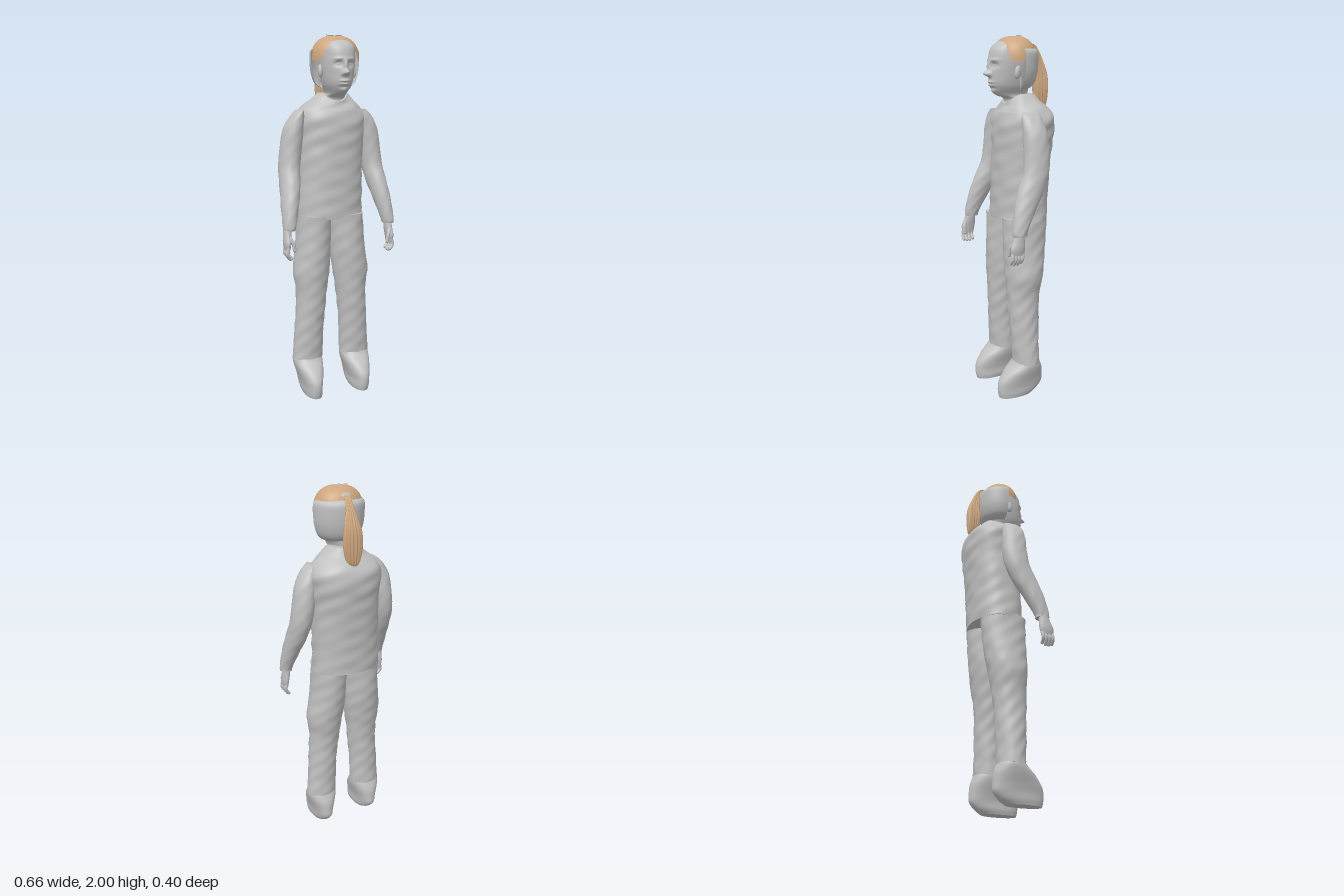
import * as THREE from 'three';

const grey = new THREE.MeshStandardMaterial({ color: 0xc0c0c0, side: THREE.DoubleSide });
grey.name = 'plain grey';
const tan = new THREE.MeshStandardMaterial({ color: 0xcda67e, side: THREE.DoubleSide });
tan.name = 'hair tan';

function addMesh(parent, name, geometry, material = grey) {
  const mesh = new THREE.Mesh(geometry, material);
  mesh.name = name;
  parent.add(mesh);
  return mesh;
}

// Closed tube through horizontal sections [y, cx, cz, rx, rz], bottom to top.
// power squares the outline; shape(p, angle) may move each point.
function loft(sections, { segs = 36, rows = 40, power = 2, shape } = {}) {
  const centres = new THREE.CatmullRomCurve3(sections.map(s => new THREE.Vector3(s[1], s[0], s[2])), false, 'catmullrom');
  const radii = new THREE.CatmullRomCurve3(sections.map(s => new THREE.Vector3(s[3], 0, s[4])), false, 'catmullrom');
  const pos = [], idx = [];
  const round = v => Math.sign(v) * Math.abs(v) ** (2 / power);
  for (let j = 0; j <= rows; j++) {
    const c = centres.getPoint(j / rows), r = radii.getPoint(j / rows);
    for (let i = 0; i < segs; i++) {
      const a = i / segs * Math.PI * 2;
      const p = new THREE.Vector3(c.x + r.x * round(Math.cos(a)), c.y, c.z + r.z * round(Math.sin(a)));
      if (shape) shape(p, a, c);
      pos.push(p.x, p.y, p.z);
      if (j < rows) {
        const k = j * segs + i, n = j * segs + (i + 1) % segs;
        idx.push(k, k + segs, n, n, k + segs, n + segs);
      }
    }
  }
  // End caps with their own corners, so the rims stay sharp
  for (const [row, up] of [[0, false], [rows, true]]) {
    const base = pos.length / 3, c = centres.getPoint(row / rows);
    for (let i = 0; i < segs * 3; i++) pos.push(pos[row * segs * 3 + i]);
    pos.push(c.x, pos[row * segs * 3 + 1], c.z);
    for (let i = 0; i < segs; i++) {
      const a = base + i, b = base + (i + 1) % segs;
      idx.push(base + segs, up ? b : a, up ? a : b);
    }
  }
  const g = new THREE.BufferGeometry();
  g.setAttribute('position', new THREE.Float32BufferAttribute(pos, 3));
  g.setIndex(idx);
  g.computeVertexNormals();
  return g;
}

// Soft cloth folds
const folds = amount => (p, a, c) => {
  const w = amount * (Math.sin(p.y * 43 + 3 * Math.sin(a * 2)) * Math.sin(a * 3 + p.y * 17) + 0.6 * Math.sin(p.y * 71 + a * 5));
  p.x += Math.cos(a) * w;
  p.z += Math.sin(a) * w;
};

const bump = (x, y, sx, sy) => Math.exp(-((x / sx) ** 2) - (y / sy) ** 2);

// Nose, brow, eyes, lips and chin pushed out of the front of the head
function face(p) {
  if (p.z < 0.06) return;
  const x = p.x - 0.026, ax = Math.abs(x), y = p.y;
  p.z += 0.017 * bump(x, y - 1.84, 0.012, 0.03) + 0.036 * bump(x, y - 1.802, 0.015, 0.014)
    + 0.012 * bump(ax - 0.014, y - 1.797, 0.008, 0.009)
    - 0.016 * bump(ax - 0.034, y - 1.845, 0.02, 0.014) + 0.009 * bump(ax - 0.034, y - 1.844, 0.01, 0.006)
    + 0.006 * bump(ax - 0.034, y - 1.872, 0.025, 0.008)
    + 0.011 * bump(x, y - 1.758, 0.024, 0.007) + 0.011 * bump(x, y - 1.742, 0.02, 0.007)
    - 0.006 * bump(x, y - 1.75, 0.028, 0.003) - 0.006 * bump(x, y - 1.728, 0.025, 0.007)
    + 0.008 * bump(x, y - 1.708, 0.022, 0.012);
}

// Hair cap: a dome whose lower edge drops at the temples and lifts over the brow
function hairCap() {
  const segs = 72, rows = 14, pos = [], idx = [];
  for (let j = 0; j <= rows; j++) for (let i = 0; i < segs; i++) {
    const a = i / segs * Math.PI * 2, front = Math.sin(a);
    let edge = 1.92;
    if (front > 0) edge = front < 0.6 ? 1.865 : 1.865 + 0.095 * Math.min(1, (front - 0.6) / 0.25);
    edge += 0.005 * Math.sin(i * 2.4);
    const y = 1.997 - (1.997 - edge) * (j / rows) ** 2;
    const s = Math.max(0, 1 - ((y - 1.86) / 0.137) ** 2.5) ** 0.4;
    pos.push(0.027 + 0.134 * s * Math.cos(a), y, 0.015 + (front > 0 ? 0.122 : 0.112) * s * front);
    if (j < rows) {
      const k = j * segs + i, n = j * segs + (i + 1) % segs;
      idx.push(k, n, k + segs, n, n + segs, k + segs);
    }
  }
  const g = new THREE.BufferGeometry();
  g.setAttribute('position', new THREE.Float32BufferAttribute(pos, 3));
  g.setIndex(idx);
  g.computeVertexNormals();
  return g;
}

export function createModel() {
  const model = new THREE.Group();
  model.name = 'figure';

  // Tunic, with the neckline dipping at the front
  const cloth = folds(0.0025);
  addMesh(model, 'torso', loft([
    [1.01, 0.005, -0.02, 0.192, 0.143], [1.2, 0.01, -0.025, 0.185, 0.146], [1.4, 0.017, -0.035, 0.187, 0.152],
    [1.5, 0.02, -0.04, 0.195, 0.156], [1.57, 0.022, -0.043, 0.198, 0.15], [1.62, 0.022, -0.037, 0.165, 0.128],
    [1.66, 0.022, -0.022, 0.118, 0.1], [1.695, 0.022, -0.01, 0.078, 0.085],
  ], {
    segs: 64, rows: 60, power: 2.25, shape(p, a, c) {
      cloth(p, a, c);
      const dip = Math.max(0, Math.sin(a)) ** 2;
      if (p.y > 1.6) p.y -= 0.045 * dip * (p.y - 1.6) / 0.095;
    },
  }));

  // Head, ears and the raised back of the skull
  const head = new THREE.Group();
  head.name = 'head';
  model.add(head);
  addMesh(head, 'face', loft([
    [1.62, 0.022, 0, 0.068, 0.07], [1.67, 0.022, 0.002, 0.062, 0.07], [1.693, 0.023, 0.03, 0.052, 0.095],
    [1.74, 0.025, 0.045, 0.073, 0.112], [1.8, 0.026, 0.045, 0.086, 0.116], [1.87, 0.027, 0.04, 0.093, 0.122],
    [1.93, 0.027, 0.032, 0.092, 0.116], [1.965, 0.027, 0.02, 0.077, 0.09], [1.986, 0.027, 0.015, 0.04, 0.045],
  ], { segs: 110, rows: 110, power: 2.1, shape: face }));
  const shell = [[0.08, 1.72], [0.115, 1.745], [0.135, 1.8], [0.141, 1.86], [0.139, 1.915], [0.115, 1.935]];
  const skull = addMesh(head, 'skullBack', new THREE.LatheGeometry(
    new THREE.SplineCurve(shell.map(p => new THREE.Vector2(...p))).getPoints(20), 40, Math.PI / 2, Math.PI));
  skull.position.set(0.027, 0, 0.023);
  skull.scale.z = 0.96;
  for (const s of [1, -1]) {
    const ear = addMesh(head, s > 0 ? 'leftEar' : 'rightEar', new THREE.SphereGeometry(1, 16, 12));
    ear.scale.set(0.014, 0.036, 0.021);
    ear.position.set(0.026 + s * 0.096, 1.81, 0.045);
    ear.rotation.set(-0.15, s * 0.35, 0);
    const lock = addMesh(head, 'sideLock', new THREE.ConeGeometry(0.012, 0.07, 7).rotateX(Math.PI));
    lock.position.set(0.026 + s * 0.092, 1.75, 0.025);
  }

  // Hair: cap, crown patch and ribbed ponytail
  addMesh(model, 'hairCap', hairCap(), tan);
  const crown = addMesh(model, 'crownPatch', new THREE.RingGeometry(0.025, 0.048, 24, 1, 0, Math.PI).rotateX(-Math.PI / 2));
  crown.position.set(0.022, 1.9995, 0.02);
  addMesh(model, 'ponytail', loft([
    [1.605, 0.028, -0.15, 0.016, 0.014], [1.64, 0.028, -0.148, 0.036, 0.03], [1.72, 0.028, -0.147, 0.05, 0.037],
    [1.8, 0.029, -0.145, 0.044, 0.033], [1.88, 0.032, -0.128, 0.026, 0.022], [1.94, 0.033, -0.103, 0.016, 0.016],
    [1.957, 0.033, -0.085, 0.012, 0.012],
  ], {
    segs: 96, shape(p, a, c) {
      const rib = 1 + 0.08 * Math.cos(a * 16);
      p.x = c.x + (p.x - c.x) * rib;
      p.z = c.z + (p.z - c.z) * rib;
    },
  }), tan);

  for (const s of [1, -1]) {
    const side = s > 0 ? 'left' : 'right';
    const place = (mid, list) => list.map(([y, x, z, rx, rz]) => [y, mid + s * x, z, rx, rz]);

    // Sleeve
    addMesh(model, side + 'Arm', loft(place(0.008, [
      [0.975, 0.294, 0.132, 0.032, 0.038], [1.0, 0.292, 0.13, 0.036, 0.042], [1.1, 0.277, 0.095, 0.047, 0.06],
      [1.2, 0.26, 0.05, 0.054, 0.075], [1.3, 0.248, 0.01, 0.058, 0.073], [1.4, 0.235, 0, 0.059, 0.073],
      [1.5, 0.221, 0.003, 0.055, 0.068], [1.57, 0.2, 0.008, 0.036, 0.058], [1.605, 0.183, 0.01, 0.014, 0.048],
    ]), { shape: folds(0.001) }));

    // Hand with four fingers and a thumb
    const hand = new THREE.Group();
    hand.name = side + 'Hand';
    hand.position.set(s * 0.305, 0, 0);
    model.add(hand);
    addMesh(hand, 'palm', loft([
      [0.875, 0, 0.147, 0.014, 0.034], [0.91, 0, 0.146, 0.019, 0.042],
      [0.95, -s * 0.004, 0.138, 0.021, 0.034], [1.0, -s * 0.007, 0.132, 0.02, 0.024],
    ], { segs: 20, rows: 16 }));
    const finger = (name, points, r) => addMesh(hand, name, new THREE.TubeGeometry(
      new THREE.CatmullRomCurve3(points.map(p => new THREE.Vector3(s * p[0], p[1], p[2]))), 10, r, 8));
    for (let i = 0; i < 4; i++) {
      const z = 0.118 + i * 0.019, tip = 0.822 + 0.006 * Math.abs(i - 1.5);
      finger('finger', [[0, 0.89, z], [0.006, 0.855, z + 0.004], [-0.012, tip, z + 0.006]], 0.0095);
      const end = addMesh(hand, 'fingertip', new THREE.SphereGeometry(0.0095, 8, 6));
      end.position.set(-s * 0.012, tip, z + 0.006);
    }
    finger('thumb', [[-0.005, 0.945, 0.165], [-0.022, 0.915, 0.18], [-0.03, 0.875, 0.183]], 0.01);
    const thumbTip = addMesh(hand, 'thumbTip', new THREE.SphereGeometry(0.01, 8, 6));
    thumbTip.position.set(-s * 0.03, 0.875, 0.183);

    // Trouser leg
    addMesh(model, side + 'Leg', loft(place(0.005, [
      [0.195, 0.146, 0.008, 0.088, 0.073], [0.3, 0.14, 0.012, 0.085, 0.077], [0.4, 0.135, 0.013, 0.083, 0.082],
      [0.5, 0.127, 0.015, 0.084, 0.087], [0.6, 0.121, 0.012, 0.088, 0.095], [0.7, 0.12, 0.007, 0.102, 0.107],
      [0.8, 0.109, 0, 0.1, 0.118], [0.9, 0.102, -0.005, 0.095, 0.125], [1.03, 0.096, -0.01, 0.093, 0.132],
    ]), { segs: 48, rows: 60, shape: folds(0.0016) }));

    // Shoe
    addMesh(model, side + 'Shoe', loft(place(0.004, [
      [0, 0.145, 0.075, 0.046, 0.1], [0.025, 0.145, 0.06, 0.052, 0.122], [0.06, 0.146, 0.047, 0.054, 0.138],
      [0.1, 0.146, 0.042, 0.063, 0.134], [0.15, 0.146, 0.026, 0.078, 0.112], [0.185, 0.146, 0.012, 0.084, 0.084],
      [0.21, 0.146, 0.008, 0.08, 0.068],
    ]), { power: 2.2 }));
  }
  return model;
}
